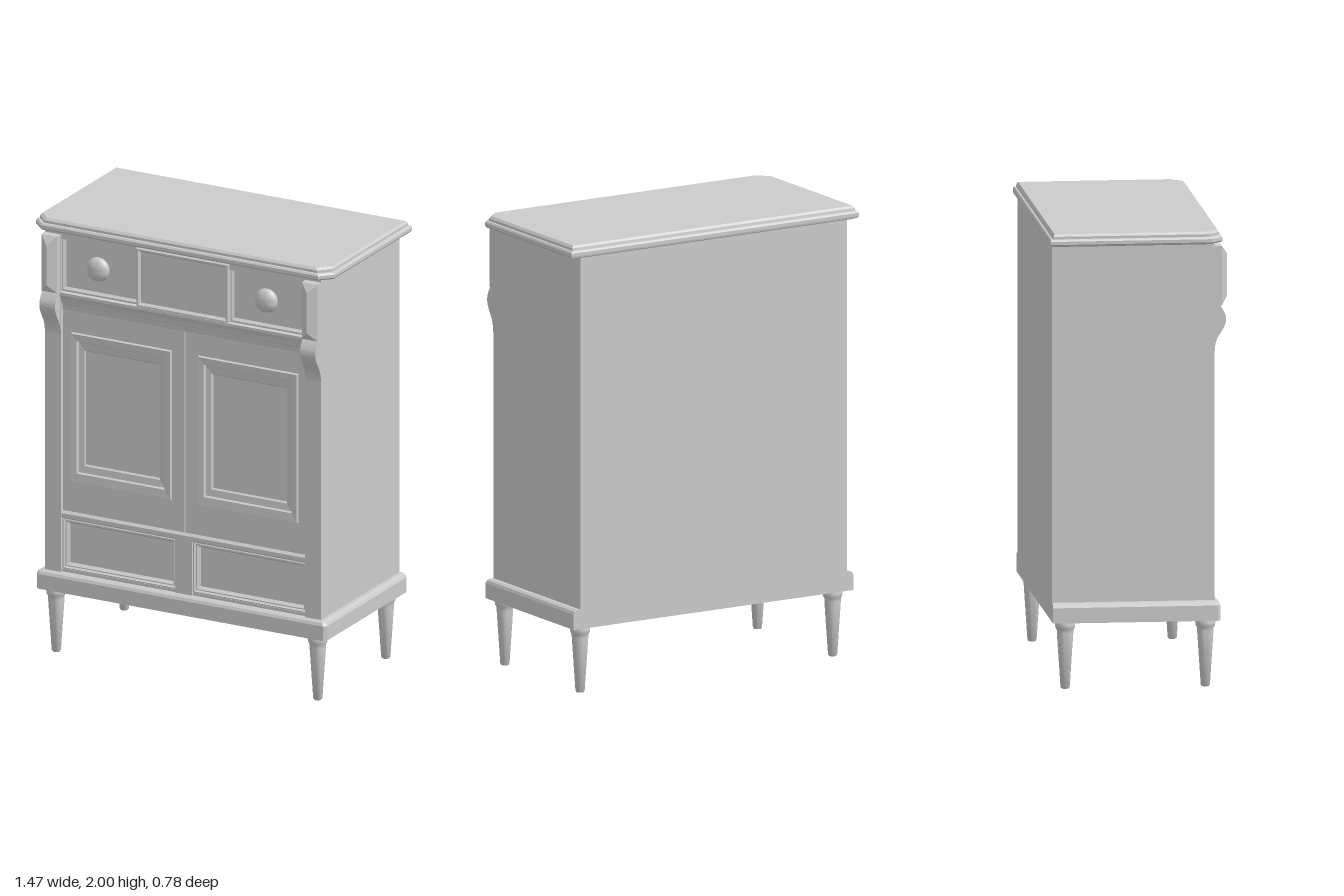
import * as THREE from 'three';
import { toCreasedNormals } from 'three/addons/utils/BufferGeometryUtils.js';

const material = new THREE.MeshStandardMaterial({ color: 0xcccccc });

// Skin a stack of convex rings (counter-clockwise seen from the end they rise to) and cap both ends
function loft(rings) {
  const pos = [];
  const tri = (a, b, c) => pos.push(...a, ...b, ...c);
  const n = rings[0].length;
  for (let r = 0; r < rings.length - 1; r++) {
    const a = rings[r], b = rings[r + 1];
    for (let i = 0; i < n; i++) {
      const j = (i + 1) % n;
      tri(a[i], a[j], b[j]);
      tri(a[i], b[j], b[i]);
    }
  }
  const first = rings[0], last = rings[rings.length - 1];
  for (let i = 1; i < n - 1; i++) {
    tri(first[0], first[i + 1], first[i]);
    tri(last[0], last[i], last[i + 1]);
  }
  const g = new THREE.BufferGeometry();
  g.setAttribute('position', new THREE.Float32BufferAttribute(pos, 3));
  g.computeVertexNormals();
  return g;
}

// Front-facing panel from rectangles [x0, x1, y0, y1, z], stepping back to front
const panel = (rects) => loft(rects.map(([x0, x1, y0, y1, z]) =>
  [[x0, y0, z], [x1, y0, z], [x1, y1, z], [x0, y1, z]]));

// Panel whose steps are uniform insets [inset, z]
const insetPanel = (x0, x1, y0, y1, steps) =>
  panel(steps.map(([d, z]) => [x0 + d, x1 - d, y0 + d, y1 - d, z]));

// Horizontal slab with clipped front corners; steps are [inset, backInset, y]
const slab = (halfX, front, back, clip, steps) => loft(steps.map(([d, db, y]) => {
  const x = halfX - d, f = front - d, b = back + db, c = clip;
  return [[-x, y, b], [-x, y, f - c], [-x + c, y, f], [x - c, y, f], [x, y, f - c], [x, y, b]];
}));

// Profile in (z, y) swept across x0..x1
function sweepX(points, x0, x1) {
  const shape = new THREE.Shape(points.map(([z, y]) => new THREE.Vector2(z, y)));
  const g = new THREE.ExtrudeGeometry(shape, { depth: x1 - x0, bevelEnabled: false });
  g.rotateY(-Math.PI / 2).translate(x1, 0, 0);
  return toCreasedNormals(g, 0.5);
}

function box(x0, x1, y0, y1, z0, z1) {
  return new THREE.BoxGeometry(x1 - x0, y1 - y0, z1 - z0)
    .translate((x0 + x1) / 2, (y0 + y1) / 2, (z0 + z1) / 2);
}

export function createModel() {
  const model = new THREE.Group();
  model.name = 'cabinet';
  const add = (name, geometry) => {
    const m = new THREE.Mesh(geometry, material);
    m.name = name;
    model.add(m);
    return m;
  };

  // Carcass, plinth and moulded top
  add('carcass', box(-0.68, 0.68, 0.34, 1.96, -0.375, 0.285));
  add('plinth', slab(0.715, 0.355, -0.375, 0.012,
    [[0, 0, 0.295], [0, 0, 0.362], [0.006, 0, 0.374], [0.018, 0, 0.381]]));
  add('top', slab(0.735, 0.365, -0.388, 0.05, [
    [0.03, 0.012, 1.943], [0.006, 0.002, 1.948], [0, 0, 1.956], [0, 0, 1.97],
    [0.005, 0.004, 1.977], [0.013, 0.012, 1.979], [0.013, 0.014, 1.99], [0.022, 0.02, 2.0],
  ]));

  // Rails and mouldings across the front
  add('lowerRail', sweepX([[0.28, 0.625], [0.318, 0.625], [0.326, 0.632], [0.326, 0.65],
    [0.316, 0.66], [0.28, 0.66]], -0.605, 0.605));
  add('bottomRail', box(-0.605, 0.605, 0.375, 0.395, 0.28, 0.32));
  add('centreDivider', box(-0.042, 0.042, 0.375, 0.63, 0.28, 0.325));
  add('waistMoulding', sweepX([[0.28, 1.585], [0.317, 1.585], [0.32, 1.61], [0.328, 1.615],
    [0.331, 1.638], [0.342, 1.655], [0.342, 1.668], [0.28, 1.674]], -0.605, 0.605));
  add('topRail', box(-0.605, 0.605, 1.91, 1.95, 0.28, 0.328));
  add('centrePanel', insetPanel(-0.228, 0.228, 1.665, 1.937,
    [[0, 0.28], [0, 0.335], [0.004, 0.341], [0.011, 0.341], [0.02, 0.328]]));

  // Profiles of the scrolled bracket and the turned leg
  const scroll = new THREE.SplineCurve([[0.355, 1.672], [0.366, 1.655], [0.38, 1.625],
    [0.38, 1.595], [0.364, 1.56], [0.345, 1.53], [0.335, 1.5], [0.332, 1.472],
  ].map(([z, y]) => new THREE.Vector2(z, y))).getPoints(28).map((p) => [p.x, p.y]);
  const legProfile = [[0, 0], [0.016, 0], [0.02, 0.006], [0.036, 0.245], [0.036, 0.256],
    [0.042, 0.266], [0.044, 0.28], [0.04, 0.297]].map(([r, y]) => new THREE.Vector2(r, y));
  const knobProfile = [[0.028, 0], [0.03, 0.012], [0.05, 0.018], [0.055, 0.028], [0.052, 0.04],
    [0.042, 0.05], [0.025, 0.057], [0, 0.06]].map(([r, y]) => new THREE.Vector2(r, y));

  for (const s of [1, -1]) {
    const side = s > 0 ? 'left' : 'right';
    // Order a mirrored x range
    const span = (a, b) => (s > 0 ? [a, b] : [-b, -a]);

    add(side + 'Pilaster', box(...span(0.602, 0.68), 0.375, 1.95, 0.27, 0.331));

    // Bracket block with a hipped front, above its scroll
    const [bx0, bx1] = span(0.604, 0.681);
    add(side + 'BracketBlock', insetPanel(bx0, bx1, 1.67, 1.93,
      [[0, 0.32], [0, 0.364], [0.0384, 0.39]]));
    add(side + 'BracketScroll', sweepX([[0.32, 1.472], [0.32, 1.672], ...scroll],
      ...span(0.604, 0.681)));

    // Door with a raised moulding around a sunk field
    const rect = (a, b, y0, y1, z) => [...span(a, b), y0, y1, z];
    add(side + 'Door', panel([
      rect(0.002, 0.602, 0.66, 1.585, 0.28), rect(0.002, 0.602, 0.66, 1.585, 0.313),
      rect(0.065, 0.56, 0.8, 1.485, 0.313), rect(0.069, 0.556, 0.804, 1.481, 0.323),
      rect(0.096, 0.53, 0.842, 1.45, 0.321), rect(0.101, 0.525, 0.847, 1.445, 0.311),
      rect(0.126, 0.5, 0.878, 1.41, 0.308), rect(0.132, 0.495, 0.884, 1.404, 0.3),
    ]));

    // Lower drawer, sunk inside a moulded frame
    add(side + 'LowerDrawer', insetPanel(...span(0.042, 0.602), 0.394, 0.626,
      [[0, 0.28], [0, 0.316], [0.006, 0.32], [0.011, 0.31], [0.016, 0.31], [0.026, 0.295]]));

    // Upper drawer and its round knob
    add(side + 'UpperDrawer', insetPanel(...span(0.225, 0.604), 1.67, 1.925,
      [[0, 0.28], [0, 0.322], [0.008, 0.322], [0.018, 0.31]]));
    const knob = add(side + 'Knob',
      toCreasedNormals(new THREE.LatheGeometry(knobProfile, 32), 0.8));
    knob.rotation.x = Math.PI / 2;
    knob.position.set(s * 0.415, 1.805, 0.309);

    // Turned legs
    for (const [end, z] of [['Front', 0.295], ['Back', -0.315]]) {
      const leg = add(side + end + 'Leg',
        toCreasedNormals(new THREE.LatheGeometry(legProfile, 24), 0.6));
      leg.position.set(s * 0.645, 0, z);
    }
  }
  return model;
}
